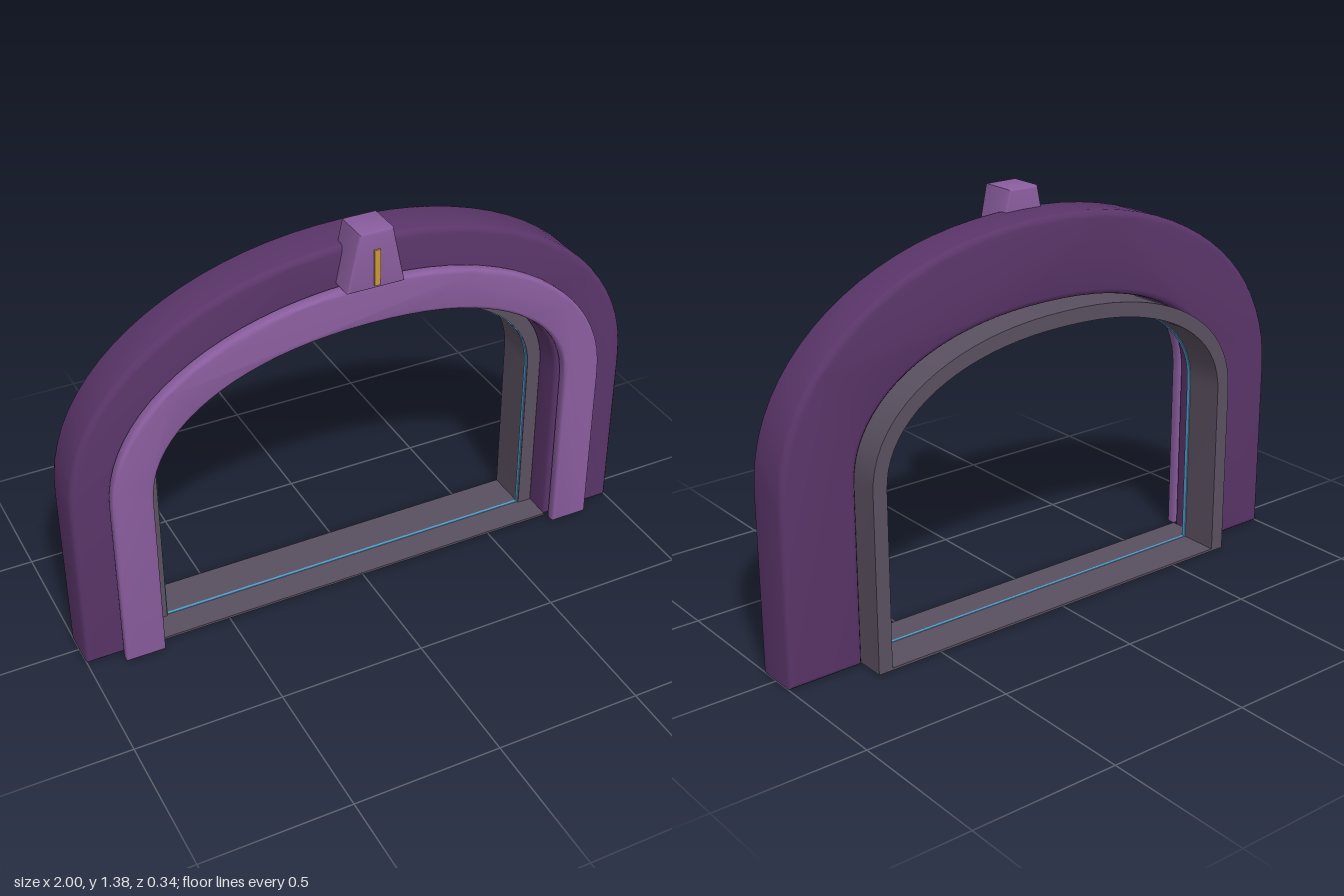
import * as THREE from 'three';
import { toCreasedNormals } from 'three/addons/utils/BufferGeometryUtils.js';

const SPRING = 0.6; // height where the straight jambs turn into the arch

function material(name, color, side = THREE.FrontSide) {
  const m = new THREE.MeshStandardMaterial({ color, side });
  m.name = name;
  return m;
}

// Points of an arch outline from the right foot over the crown to the left foot
function archLine(halfWidth, top, power, y0 = 0) {
  const pts = [new THREE.Vector2(halfWidth, y0)];
  const n = 40;
  for (let i = 0; i <= n; i++) {
    const a = (i / n) * Math.PI;
    const c = Math.cos(a), s = Math.max(0, Math.sin(a));
    pts.push(new THREE.Vector2(
      halfWidth * Math.sign(c) * Math.abs(c) ** (2 / power),
      SPRING + (top - SPRING) * s ** (2 / power)));
  }
  pts.push(new THREE.Vector2(-halfWidth, y0));
  return pts;
}

// Extrude a shape between two depths, with the bevel kept inside its outline
function slab(name, shape, back, front, bevel, mat) {
  const geo = new THREE.ExtrudeGeometry(shape, {
    depth: front - back - 2 * bevel,
    bevelEnabled: bevel > 0,
    bevelThickness: bevel, bevelSize: bevel, bevelOffset: -bevel, bevelSegments: 3,
  });
  geo.translate(0, 0, back + bevel);
  const mesh = new THREE.Mesh(toCreasedNormals(geo, 0.6), mat);
  mesh.name = name;
  return mesh;
}

// U-shaped band between an outer and an inner arch outline
function band(outer, inner) {
  return new THREE.Shape([...archLine(...outer), ...archLine(...inner).reverse()]);
}

function box(name, w, h, d, x, y, z, mat) {
  const mesh = new THREE.Mesh(new THREE.BoxGeometry(w, h, d), mat);
  mesh.position.set(x, y, z);
  mesh.name = name;
  return mesh;
}

export function createModel() {
  const purple = material('dark purple', 0x5a3569);
  const lilac = material('light purple', 0x8a5d9e);
  const grey = material('dark grey', 0x5a5060);
  const blue = material('blue', 0x4f9cc8);
  const gold = material('gold', 0xc8983a);

  const group = new THREE.Group();
  group.name = 'archway';

  // Main arch and the raised trim on its front
  group.add(slab('mainArch', band([1, 1.315, 2.1], [0.738, 1.035, 2.2]), -0.085, 0.083, 0.02, purple));
  group.add(slab('frontTrim', band([0.88, 1.185, 2.12], [0.745, 1.04, 2.2]), 0.085, 0.13, 0.012, lilac));

  // Lining that projects from the back, with its floor sill
  group.add(slab('lining', band([0.735, 1.03, 2.2], [0.685, 0.98, 2.2]), -0.168, -0.015, 0, grey));
  group.add(box('sill', 1.47, 0.008, 0.25, 0, 0.004, -0.043, grey));

  // Thin inlay running around the opening
  group.add(slab('inlay', band([0.687, 0.982, 2.2, 0.008], [0.682, 0.977, 2.2, 0.008]), -0.033, -0.019, 0, blue));
  group.add(box('sillInlay', 1.366, 0.003, 0.01, 0, 0.0085, -0.026, blue));

  // Keystone with its metal stripe
  const wedge = new THREE.Shape([
    new THREE.Vector2(-0.098, 1.19), new THREE.Vector2(0.098, 1.19),
    new THREE.Vector2(0.057, 1.384), new THREE.Vector2(-0.057, 1.384),
  ]);
  group.add(slab('keystone', wedge, 0.04, 0.165, 0.008, lilac));
  group.add(box('keystoneStripe', 0.02, 0.122, 0.008, 0, 1.263, 0.167, gold));

  return group;
}
